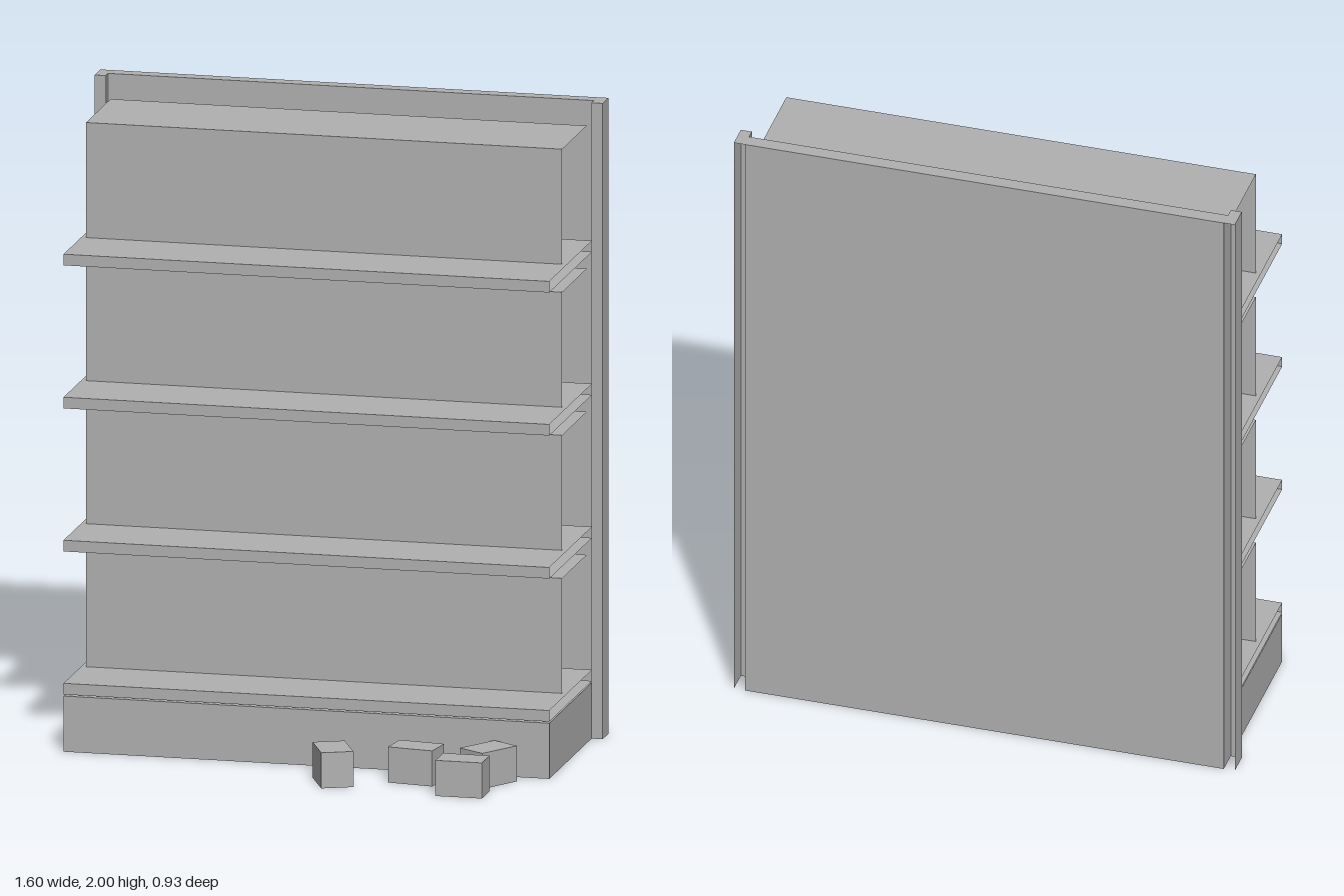
import * as THREE from 'three';

const FACES = ['right', 'left', 'top', 'bottom', 'front', 'back'];

// Sheet-built box between two corners, with only the listed faces
function openBox(x0, x1, y0, y1, z0, z1, faces) {
  const geometry = new THREE.BoxGeometry(x1 - x0, y1 - y0, z1 - z0);
  const source = Array.from(geometry.index.array);
  const kept = faces.flatMap((f) => {
    const start = FACES.indexOf(f) * 6;
    return source.slice(start, start + 6);
  });
  geometry.setIndex(kept);
  geometry.clearGroups();
  geometry.translate((x0 + x1) / 2, (y0 + y1) / 2, (z0 + z1) / 2);
  return geometry;
}

export function createModel() {
  const model = new THREE.Group();
  model.name = 'displayShelf';
  const grey = new THREE.MeshStandardMaterial({ color: 0xb0b0b0, side: THREE.DoubleSide });
  grey.name = 'plain grey';

  const add = (name, geometry) => {
    const mesh = new THREE.Mesh(geometry, grey);
    mesh.name = name;
    model.add(mesh);
    return mesh;
  };

  const inner = 0.765; // half width between the uprights

  // Back panel
  add('backPanel', openBox(-inner, inner, 0, 2, -0.465, -0.42, ['front', 'back', 'top']));

  // Uprights: channels open at the back and the bottom
  const channel = ['right', 'left', 'top', 'front'];
  add('leftUpright', openBox(inner, 0.8, 0, 2, -0.465, -0.39, channel));
  add('rightUpright', openBox(-0.8, -inner, 0, 2, -0.465, -0.39, channel));

  // Plinth, hollow from below
  add('base', openBox(-inner, inner, 0, 0.175, -0.39, 0.16, ['right', 'left', 'top', 'front']));

  // Shelves with a front lip and open ends, each carrying a row of goods
  for (let i = 0; i < 4; i++) {
    const top = 0.215 + i * 0.45;
    add(`shelf${i + 1}`,
      openBox(-inner, inner, top - 0.035, top, -0.395, 0.16, ['top', 'bottom', 'front']));
    add(`goodsRow${i + 1}`,
      openBox(-0.75, 0.75, top, top + 0.362, -0.39, -0.07, ['top', 'front']));
  }

  // Loose boxes on the floor: x, z, turn
  const cartons = [
    [0.132, 0.36, -1.15],
    [0.375, 0.283, -0.14],
    [0.595, 0.25, 1.0],
    [0.553, 0.412, 0],
  ];
  cartons.forEach(([x, z, turn], i) => {
    const carton = add(`floorBox${i + 1}`,
      openBox(-0.073, 0.073, 0, 0.112, -0.05, 0.05, ['right', 'left', 'top', 'front', 'back']));
    carton.position.set(x, 0, z);
    carton.rotation.y = turn;
  });

  return model;
}
